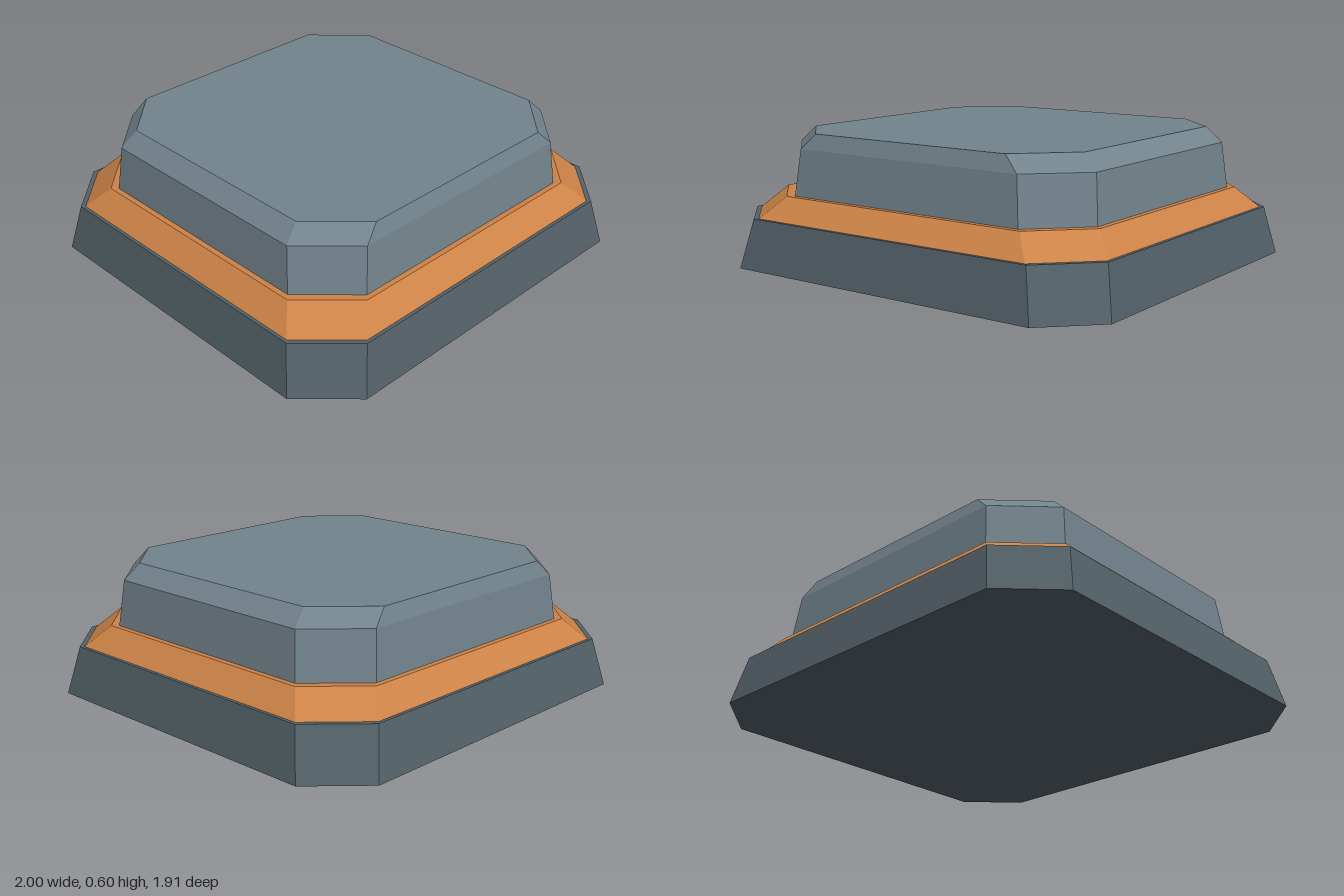
import * as THREE from 'three';

// Chamfered-rectangle outline, counter-clockwise seen from above.
// x, z: half sizes; cx, cz: where the corner cuts begin.
function ring([y, x, z, cx, cz]) {
  return [
    [x, y, cz], [x, y, -cz], [cx, y, -z], [-cx, y, -z],
    [-x, y, -cz], [-x, y, cz], [-cx, y, z], [cx, y, z],
  ];
}

// Closed, flat-shaded solid through a stack of outlines, bottom to top
function loft(sections) {
  const rings = sections.map(ring);
  const n = rings[0].length;
  const pos = [];
  const tri = (a, b, c) => pos.push(...a, ...b, ...c);
  for (let r = 0; r < rings.length - 1; r++) {
    const lo = rings[r], hi = rings[r + 1];
    for (let i = 0; i < n; i++) {
      const j = (i + 1) % n;
      tri(lo[i], lo[j], hi[j]);
      tri(lo[i], hi[j], hi[i]);
    }
  }
  const bottom = rings[0], top = rings[rings.length - 1];
  for (let i = 1; i < n - 1; i++) {
    tri(top[0], top[i], top[i + 1]);
    tri(bottom[0], bottom[i + 1], bottom[i]);
  }
  const geometry = new THREE.BufferGeometry();
  geometry.setAttribute('position', new THREE.Float32BufferAttribute(pos, 3));
  geometry.computeVertexNormals();
  return geometry;
}

export function createModel() {
  const group = new THREE.Group();
  group.name = 'platform';

  const material = (name, color) => {
    const m = new THREE.MeshStandardMaterial({ color });
    m.name = name;
    return m;
  };
  const add = (name, mat, sections) => {
    const mesh = new THREE.Mesh(loft(sections), mat);
    mesh.name = name;
    group.add(mesh);
  };

  // Wide dark foot
  add('base', material('darkSlate', 0x546269), [
    [0, 1, 0.955, 0.78, 0.735],
    [0.22, 0.953, 0.908, 0.733, 0.688],
  ]);

  // Sloping coloured band
  add('trimBand', material('orange', 0xcd8347), [
    [0.22, 0.938, 0.893, 0.718, 0.673],
    [0.317, 0.85, 0.805, 0.63, 0.585],
  ]);

  // Raised block with a bevelled upper edge
  add('upperBlock', material('slateGrey', 0x73848d), [
    [0.317, 0.825, 0.78, 0.605, 0.56],
    [0.525, 0.803, 0.758, 0.583, 0.538],
    [0.595, 0.732, 0.735, 0.512, 0.515],
  ]);

  return group;
}
